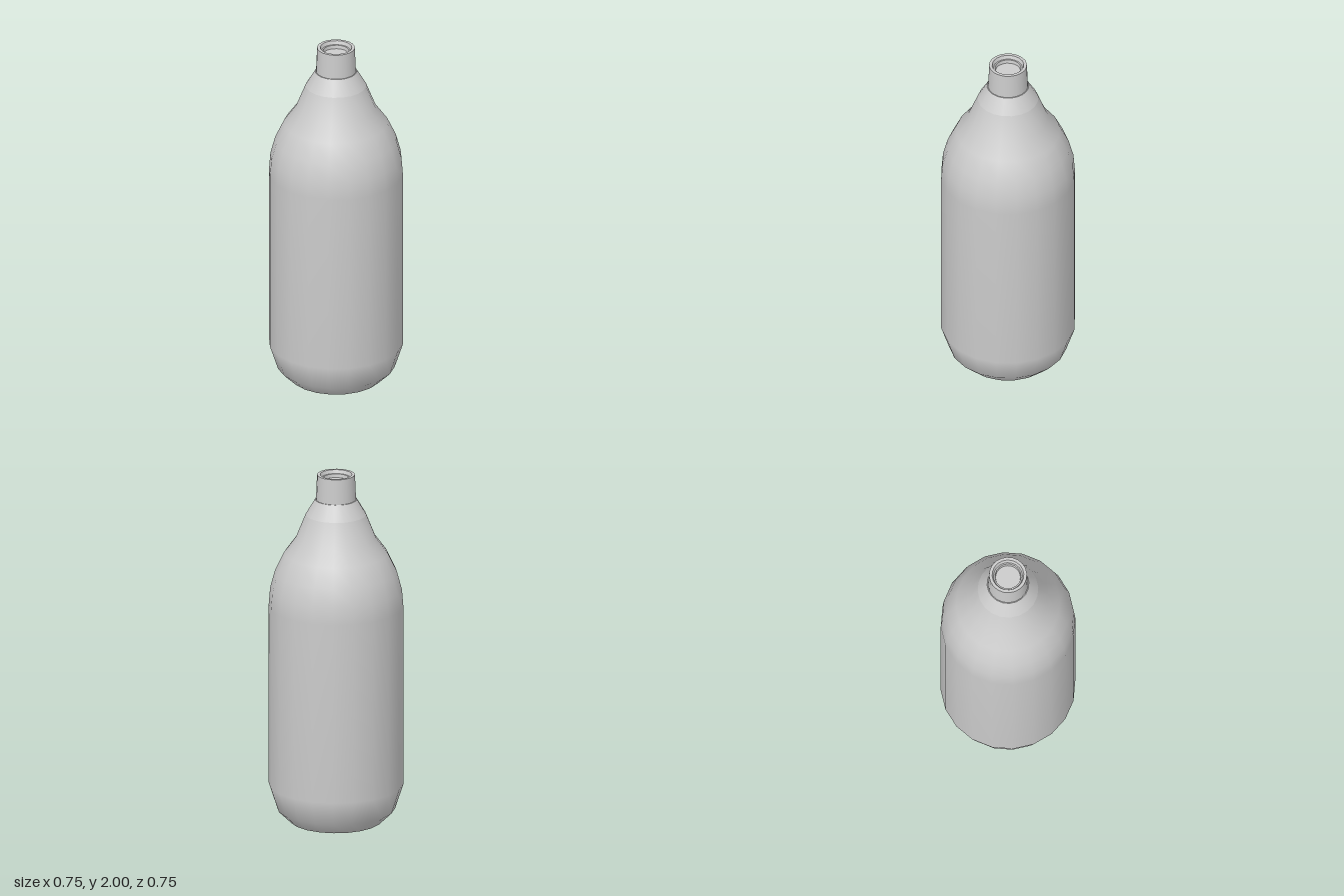
import * as THREE from 'three';

const SIDES = 20;

// Each profile is one smooth band, listed along the surface from the base to the mouth;
// separate bands keep hard edges between them.
function band(name, points, material) {
  const profile = points.map(([r, y]) => new THREE.Vector2(r, y));
  const mesh = new THREE.Mesh(new THREE.LatheGeometry(profile, SIDES), material);
  mesh.name = name;
  return mesh;
}

export function createModel() {
  const material = new THREE.MeshStandardMaterial({ color: 0xcccccc });
  const group = new THREE.Group();
  group.name = 'bottle';

  const bands = [
    // Underside with a round recess
    ['baseRecessFloor', [[0, 0.045], [0.155, 0.045]]],
    ['baseRecessWall', [[0.155, 0.045], [0.155, 0]]],
    ['baseRing', [[0.155, 0], [0.255, 0]]],
    // Body, rounded at the foot and the shoulder
    ['body', [
      [0.255, 0], [0.327, 0.07], [0.373, 0.21], [0.373, 1.24], [0.365, 1.34],
      [0.338, 1.44], [0.288, 1.545], [0.222, 1.635], [0.168, 1.77],
    ]],
    ['shoulderCollar', [[0.168, 1.77], [0.116, 1.857]]],
    // Neck, slightly tapered
    ['neckLedge', [[0.116, 1.857], [0.111, 1.857]]],
    ['neck', [[0.111, 1.857], [0.105, 2]]],
    // Mouth, stepped and closed
    ['rim', [[0.105, 2], [0.088, 2]]],
    ['mouthWall', [[0.088, 2], [0.08, 1.98]]],
    ['mouthStep', [[0.08, 1.98], [0.072, 1.98]]],
    ['mouthInnerWall', [[0.072, 1.98], [0.069, 1.96]]],
    ['mouthFloor', [[0.069, 1.96], [0, 1.96]]],
  ];
  for (const [name, points] of bands) group.add(band(name, points, material));

  return group;
}
